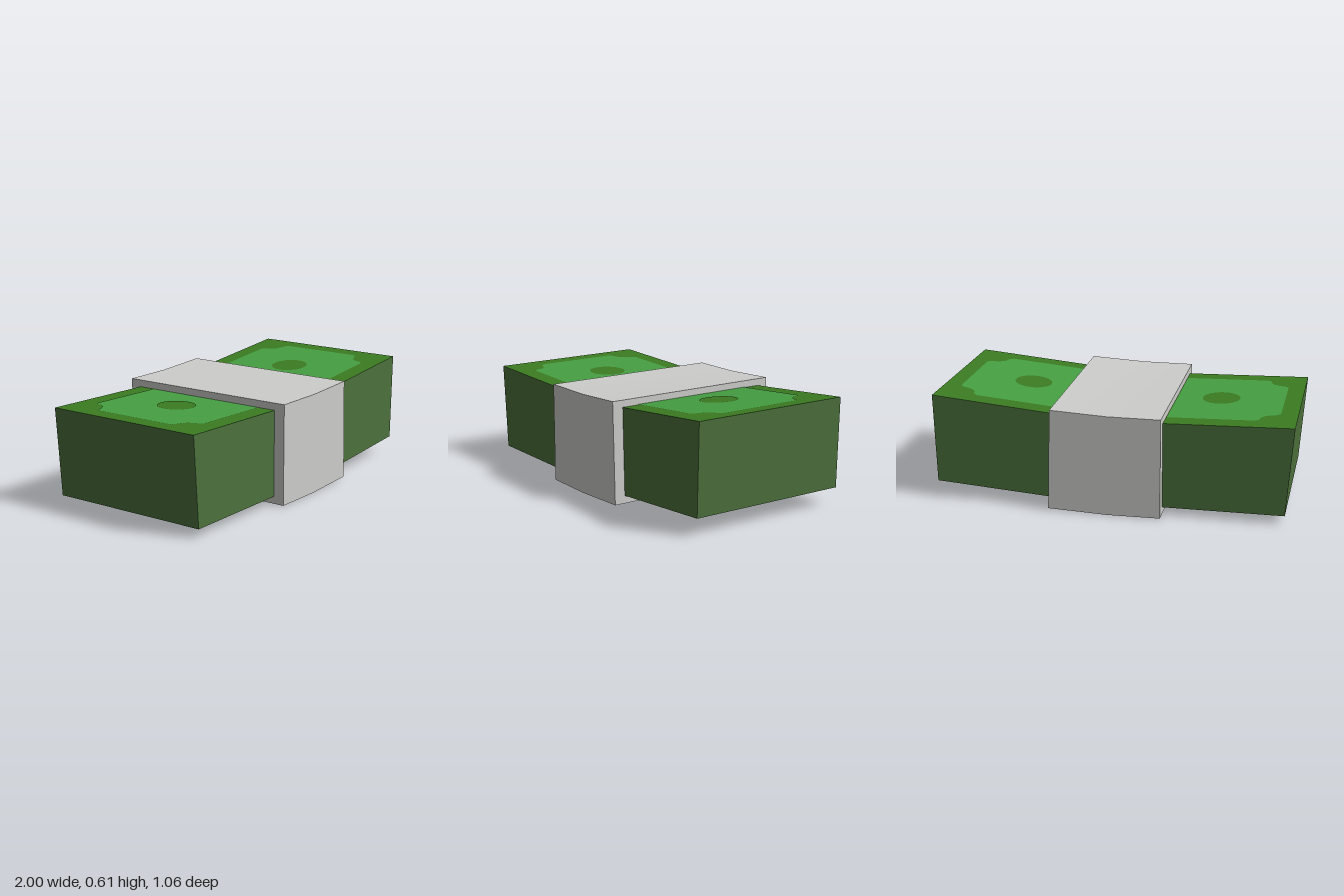
import * as THREE from 'three';

// Bent profiles [x, y], from the left end of the front view to the right
const STACK_TOP = [[-1, 0.55], [-0.3, 0.53], [0, 0.53], [0.32, 0.545], [1, 0.605]];
const STACK_BOTTOM = [[-0.965, 0.05], [-0.3, 0.045], [0, 0.042], [0.33, 0.055], [0.988, 0.1]];
const BAND_TOP = [[-0.295, 0.57], [0, 0.569], [0.315, 0.584]];
const BAND_BOTTOM = [[-0.295, 0.004], [0, 0], [0.332, 0.012]];

// Height of a profile at x
function heightAt(profile, x) {
  let i = 1;
  while (i < profile.length - 1 && x > profile[i][0]) i++;
  const [x0, y0] = profile[i - 1], [x1, y1] = profile[i];
  return y0 + (y1 - y0) * (x - x0) / (x1 - x0);
}

// Box whose columns follow a top and a bottom profile
function bentBox(top, bottom, halfDepth, skew) {
  const n = top.length - 1;
  const geo = new THREE.BoxGeometry(1, 1, 1, n, 1, 1);
  const p = geo.attributes.position;
  for (let k = 0; k < p.count; k++) {
    const i = Math.round((p.getX(k) + 0.5) * n);
    const [x, y] = (p.getY(k) > 0 ? top : bottom)[i];
    const z = Math.sign(p.getZ(k));
    const shift = i === n && z > 0 ? skew : 0;
    p.setXYZ(k, x - shift, y, z * halfDepth);
  }
  geo.computeVertexNormals();
  return geo;
}

// Lay a flat XY geometry onto the top (up = 1) or underside (up = -1) of the stack
function layOnStack(geo, up, turn, lift) {
  geo.rotateX(-up * Math.PI / 2);
  geo.rotateY(turn);
  const profile = up > 0 ? STACK_TOP : STACK_BOTTOM;
  const p = geo.attributes.position;
  for (let k = 0; k < p.count; k++) {
    p.setY(k, heightAt(profile, p.getX(k)) + up * lift);
  }
  geo.computeVertexNormals();
  return geo;
}

// Half of the note panel, with scooped outer corners
function panelShape() {
  const corner = [[0.775, 0.366], [0.798, 0.348], [0.802, 0.318], [0.82, 0.288],
    [0.85, 0.27], [0.88, 0.262], [0.9, 0.248], [0.905, 0.232]];
  const outline = [[0.3, -0.366], ...corner.map(([x, y]) => [x, -y]),
    ...corner.slice().reverse(), [0.3, 0.366]];
  return new THREE.Shape(outline.map(([x, y]) => new THREE.Vector2(x, y)));
}

export function createModel() {
  const model = new THREE.Group();
  model.name = 'banknoteBundle';

  const material = (name, color) => {
    const m = new THREE.MeshStandardMaterial({ color });
    m.name = name;
    return m;
  };
  const paperEdge = material('paperEdgeGreen', 0x4c713c);
  const border = material('borderGreen', 0x3c7c22);
  const panel = material('panelGreen', 0x469f42);
  const paperBand = material('bandGrey', 0xcdcdcb);

  const add = (name, geo, mat) => {
    const mesh = new THREE.Mesh(geo, mat);
    mesh.name = name;
    model.add(mesh);
  };

  // Stack of notes: plain sides, printed top and underside
  add('noteStack', bentBox(STACK_TOP, STACK_BOTTOM, 0.468, 0.009),
    [paperEdge, paperEdge, border, border, paperEdge, paperEdge]);

  // Paper band around the middle
  add('paperBand', bentBox(BAND_TOP, BAND_BOTTOM, 0.531, 0), paperBand);

  // Printed panels and round seals on both faces and both ends
  for (const up of [1, -1]) {
    const face = up > 0 ? 'top' : 'bottom';
    for (const turn of [0, Math.PI]) {
      const side = turn ? 'Right' : 'Left';
      add(`${face}Panel${side}`,
        layOnStack(new THREE.ShapeGeometry(panelShape()), up, turn, 0.002), panel);
      const seal = new THREE.CircleGeometry(0.106, 40);
      seal.translate(0.548, 0, 0);
      add(`${face}Seal${side}`, layOnStack(seal, up, turn, 0.004), border);
    }
  }
  return model;
}
